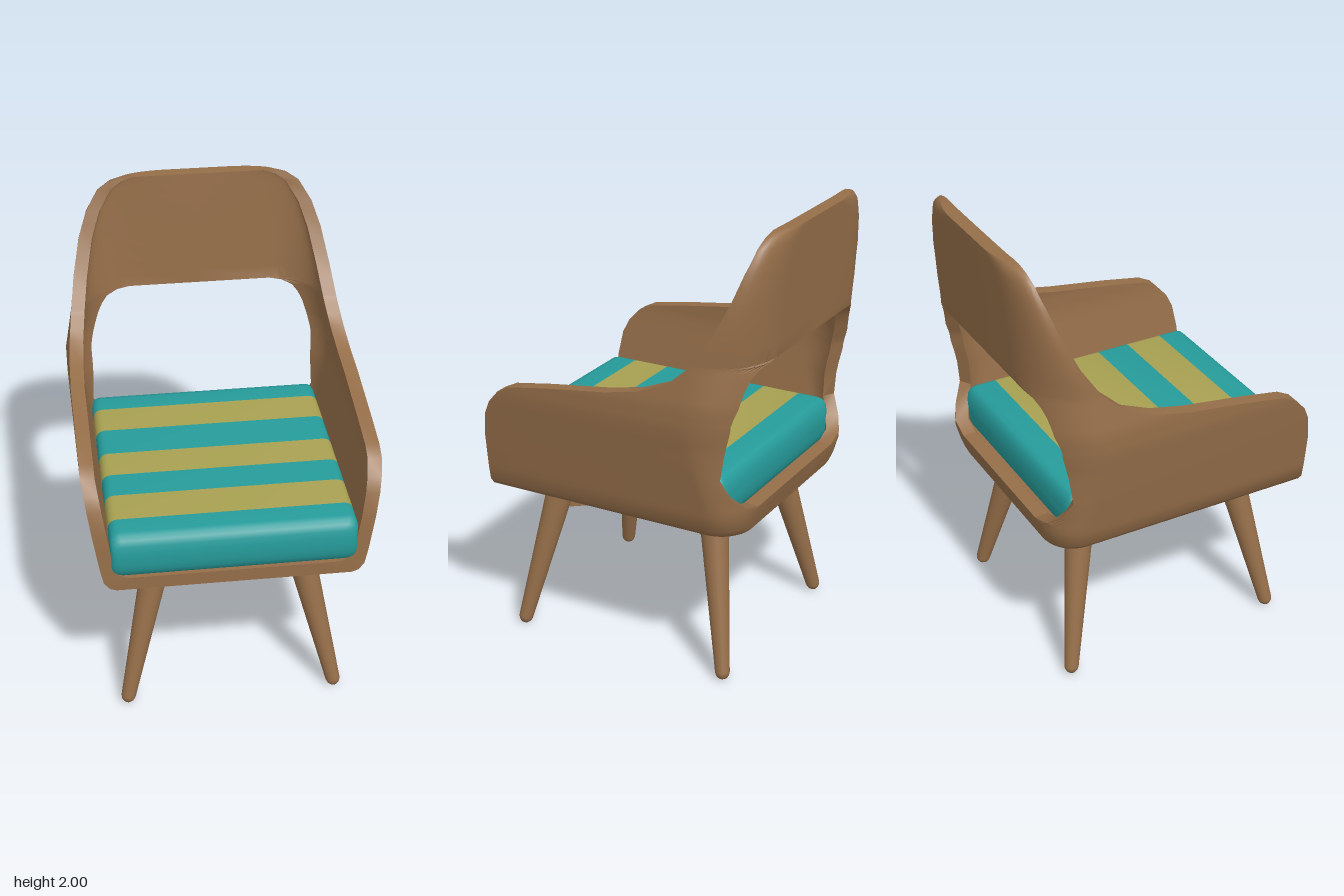
import * as THREE from 'three';
import { toCreasedNormals } from 'three/addons/utils/BufferGeometryUtils.js';

const mat = (name, color) => {
  const m = new THREE.MeshStandardMaterial({ color });
  m.name = name;
  return m;
};

// Piecewise linear lookup through [y, value] points
const table = (...pts) => (y) => {
  let i = 1;
  while (i < pts.length - 1 && y > pts[i][0]) i++;
  const [y0, v0] = pts[i - 1], [y1, v1] = pts[i];
  return v0 + (v1 - v0) * THREE.MathUtils.clamp((y - y0) / (y1 - y0), 0, 1);
};

// Collects quads and turns them into a geometry with sharp creases
class Quads {
  constructor() { this.p = []; }
  quad(a, b, c, d) { for (const v of [a, b, c, a, c, d]) this.p.push(...v); }
  both(a, b, c, d) {
    this.quad(a, b, c, d);
    this.quad(mirror(d), mirror(c), mirror(b), mirror(a));
  }
  build(crease = 0.6) {
    const g = new THREE.BufferGeometry();
    g.setAttribute('position', new THREE.Float32BufferAttribute(this.p, 3));
    return toCreasedNormals(g, crease);
  }
}
const mirror = ([x, y, z]) => [-x, y, z];

// Shell dimensions as functions of height
const THICK = 0.06;
const halfWidth = table([0.7, 0.5], [0.71, 0.527], [0.74, 0.552], [0.81, 0.567], [0.97, 0.592], [1.2, 0.626],
  [1.3, 0.627], [1.45, 0.6], [1.6, 0.575], [1.75, 0.543], [1.86, 0.505], [1.95, 0.45], [1.985, 0.4], [2, 0.345]);
const frontZ = table([0.7, 0.65], [0.97, 0.64], [1.08, 0.622], [1.14, 0.594], [1.2, 0.54], [1.23, 0.48], [1.26, 0.3],
  [1.3, 0.01], [1.33, -0.14], [1.38, -0.27], [1.47, -0.37], [1.6, -0.455], [1.75, -0.525], [1.9, -0.575], [2, -0.6]);
const backZ = table([0.7, -0.54], [0.81, -0.57], [1.48, -0.63], [2, -0.663]);
const cornerR = table([0.7, 0.13], [0.81, 0.15], [0.97, 0.2], [1.1, 0.26], [1.5, 0.26], [2, 0.2]);
const holeX = table([0.81, 0.36], [0.84, 0.46], [0.89, 0.522], [0.97, 0.562], [1.1, 0.55], [1.24, 0.55],
  [1.37, 0.51], [1.42, 0.48], [1.45, 0.45], [1.47, 0.39], [1.48, 0.32]);

// Plan outline of one wall layer: front edge, round the corner, towards the middle of the back
function layer(y, height, endX, inset) {
  const w = halfWidth(y), r = cornerR(y), zf = frontZ(y), zb = backZ(y);
  const angle = endX > w - r ? Math.acos(Math.min(1, (endX - (w - r)) / r)) : Math.PI / 2;
  const rx = r - inset;
  const rz = Math.max(0.001, Math.min(r, zf - zb) - inset);
  const cx = w - r, cz = zb + inset + rz;
  const pts = [[w - inset, height, Math.max(zf, cz)]];
  for (let k = 0; k <= 10; k++) {
    const a = angle * k / 10;
    pts.push([cx + rx * Math.cos(a), height, cz - rz * Math.sin(a)]);
  }
  const end = pts[pts.length - 1];
  pts.push([Math.min(end[0], endX), height, end[2]]);
  return pts;
}

function buildShell() {
  const q = new Quads();
  const band = (ys, endX, innerY = (y) => y) => {
    const out = ys.map((y) => layer(y, y, endX(y), 0));
    const inn = ys.map((y) => layer(y, innerY(y), endX(y), THICK));
    const n = out[0].length - 1, top = ys.length - 1;
    for (let i = 0; i < top; i++) {
      for (let j = 0; j < n; j++) {
        q.both(out[i][j], out[i][j + 1], out[i + 1][j + 1], out[i + 1][j]);
        q.both(inn[i][j], inn[i + 1][j], inn[i + 1][j + 1], inn[i][j + 1]);
      }
      q.both(out[i][0], out[i + 1][0], inn[i + 1][0], inn[i][0]);
    }
    return { out, inn, n, top };
  };
  const none = () => 0;

  // Tray: floor, rounded lower edges and low back lip
  const tray = band([0.7, 0.71, 0.74, 0.81], none, table([0.7, 0.76], [0.71, 0.765], [0.74, 0.78], [0.81, 0.81]));
  const o = tray.out[0], f = tray.inn[0];
  for (let j = 0; j < tray.n; j++) {
    q.quad(o[j], mirror(o[j]), mirror(o[j + 1]), o[j + 1]);
    q.quad(f[j], f[j + 1], mirror(f[j + 1]), mirror(f[j]));
    const a = tray.out[tray.top], b = tray.inn[tray.top];
    q.both(a[j], a[j + 1], b[j + 1], b[j]);
  }
  q.quad(o[0], f[0], mirror(f[0]), mirror(o[0]));

  // Sides, open at the back
  const sides = band([0.81, 0.84, 0.89, 0.97, 1.08, 1.14, 1.2, 1.23, 1.26, 1.3, 1.33, 1.38, 1.42, 1.45, 1.47, 1.48], holeX);
  for (let i = 0; i < sides.top; i++) {
    const n = sides.n;
    q.both(sides.out[i][n], sides.inn[i][n], sides.inn[i + 1][n], sides.out[i + 1][n]);
  }

  // Back rest
  const rest = band([1.48, 1.54, 1.6, 1.68, 1.75, 1.81, 1.86, 1.9, 1.95, 1.985, 2], none);
  for (let j = 0; j < rest.n; j++) {
    const a = rest.out[0], b = rest.inn[0], c = rest.out[rest.top], d = rest.inn[rest.top];
    q.both(a[j], b[j], b[j + 1], a[j + 1]);
    q.both(c[j], c[j + 1], d[j + 1], d[j]);
  }
  return q.build();
}

// Cushion cross-section: rounded rectangle, running counter-clockwise seen from the front
function cushionRing(z, w, h) {
  const r = Math.min(0.04, h * 0.9), pts = [];
  [[1, 1], [-1, 1], [-1, -1], [1, -1]].forEach(([sx, sy], c) => {
    for (let k = 0; k <= 4; k++) {
      const a = (c + k / 4) * Math.PI / 2;
      pts.push([sx * (w - r) + r * Math.cos(a), 0.865 + sy * (h - r) + r * Math.sin(a), z]);
    }
  });
  return pts;
}

function buildStripe(z0, z1, isBack, isFront) {
  // Rounded ends: [depth from the end, half width, half height]
  const ends = [[0, 0.485, 0.03], [0.005, 0.505, 0.06], [0.015, 0.515, 0.085], [0.03, 0.52, 0.1], [0.055, 0.52, 0.105]];
  const rings = [];
  if (isBack) ends.forEach(([d, w, h]) => rings.push(cushionRing(z0 + d, w, h)));
  else rings.push(cushionRing(z0, 0.52, 0.105));
  if (isFront) [...ends].reverse().forEach(([d, w, h]) => rings.push(cushionRing(z1 - d, w, h)));
  else rings.push(cushionRing(z1, 0.52, 0.105));
  const q = new Quads(), n = rings[0].length;
  for (let i = 0; i < rings.length - 1; i++) {
    for (let j = 0; j < n; j++) {
      const k = (j + 1) % n;
      q.quad(rings[i][j], rings[i][k], rings[i + 1][k], rings[i + 1][j]);
    }
  }
  const cap = (ring, flip) => {
    const c = [0, 0.865, ring[0][2]];
    ring.forEach((p, j) => {
      const nx = ring[(j + 1) % n];
      q.p.push(...c, ...(flip ? nx : p), ...(flip ? p : nx));
    });
  };
  if (isBack) cap(rings[0], true);
  if (isFront) cap(rings[rings.length - 1], false);
  return q.build(0.9);
}

export function createModel() {
  const wood = mat('brown wood', 0x956e49);
  const teal = mat('teal fabric', 0x269c9b);
  const olive = mat('olive fabric', 0xa8a152);
  const model = new THREE.Group();
  model.name = 'armchair';
  const add = (parent, name, geometry, material) => {
    const m = new THREE.Mesh(geometry, material);
    m.name = name;
    parent.add(m);
    return m;
  };

  add(model, 'shell', buildShell(), wood);

  // Striped seat cushion
  const cushion = new THREE.Group();
  cushion.name = 'cushion';
  model.add(cushion);
  const cuts = [-0.49, -0.345, -0.167, 0.022, 0.19, 0.345, 0.52, 0.665];
  for (let i = 0; i < 7; i++) {
    add(cushion, 'cushionStripe' + (i + 1), buildStripe(cuts[i], cuts[i + 1], i === 0, i === 6), i % 2 ? olive : teal);
  }

  // Tapered, splayed legs with round tips
  const up = new THREE.Vector3(0, 1, 0);
  for (const sx of [1, -1]) {
    for (const [name, zTop, zFoot] of [['front', 0.42, 0.553], ['back', -0.325, -0.46]]) {
      const top = new THREE.Vector3(sx * 0.3, 0.73, zTop);
      const foot = new THREE.Vector3(sx * 0.46, 0.032, zFoot);
      const dir = top.clone().sub(foot);
      const profile = [[0, -0.032], [0.016, -0.028], [0.027, -0.016], [0.032, 0], [0.066, dir.length()]];
      const leg = add(model, name + (sx > 0 ? 'LeftLeg' : 'RightLeg'),
        new THREE.LatheGeometry(profile.map(([x, y]) => new THREE.Vector2(x, y)), 20), wood);
      leg.position.copy(foot);
      leg.quaternion.setFromUnitVectors(up, dir.normalize());
    }
  }

  // Crossed braces under the seat
  for (const s of [1, -1]) {
    const brace = add(model, 'crossBrace', new THREE.BoxGeometry(0.94, 0.15, 0.06), wood);
    brace.position.set(0, 0.637, 0.045);
    brace.rotation.y = s * Math.atan2(0.745, 0.6);
  }
  return model;
}
